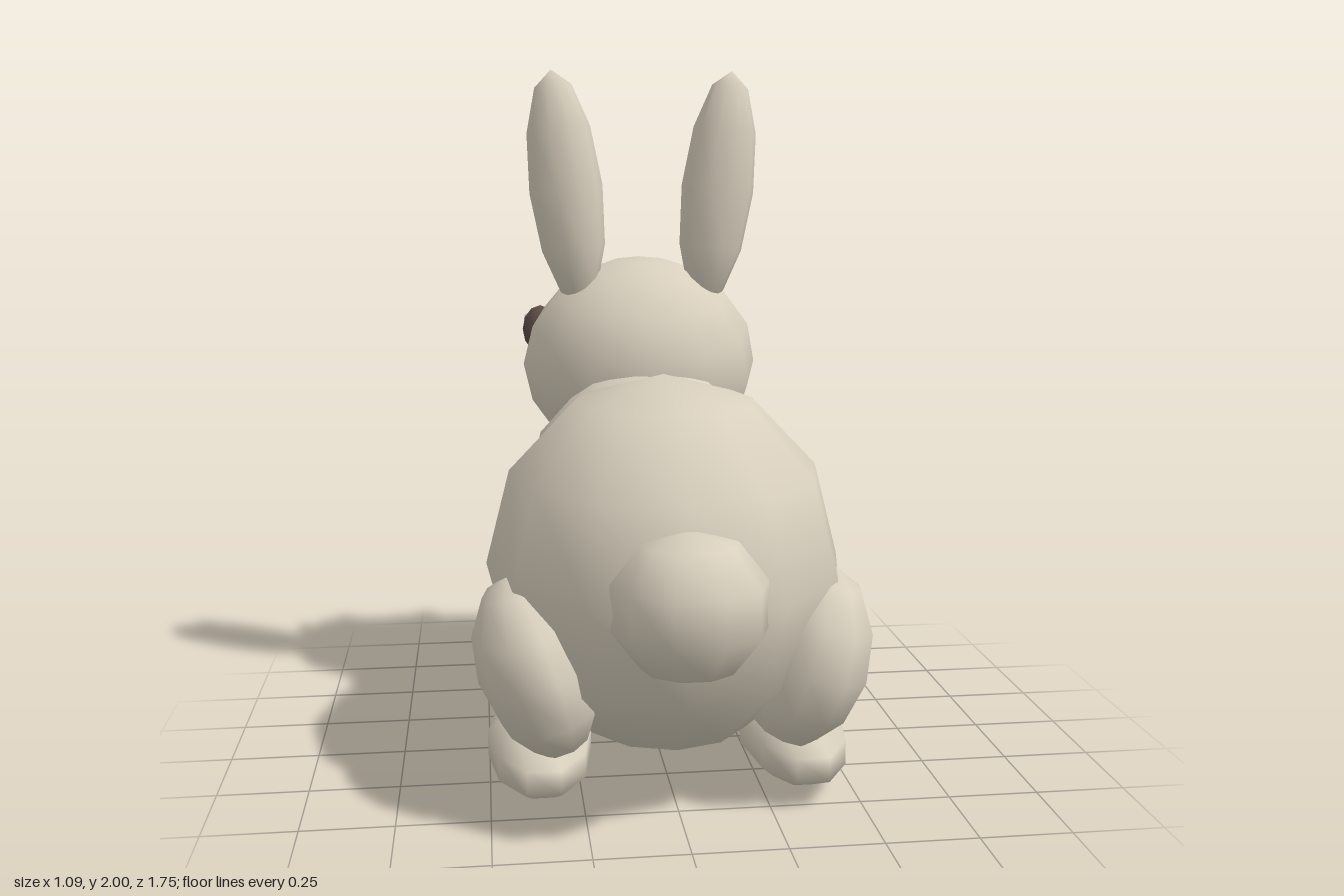
import * as THREE from 'three';

export function createModel() {
  const model = new THREE.Group();
  model.name = 'rabbit';
  const mat = (name, color) => {
    const m = new THREE.MeshStandardMaterial({ color });
    m.name = name;
    return m;
  };
  const fur = mat('fur', 0xd8cfbd);
  const pink = mat('pink', 0xd8a4a2);
  const dark = mat('dark brown', 0x5c4d47);
  const glint = mat('glint', 0xe4dfd4);

  // Every part is a smooth, coarse ellipsoid
  const blob = (name, material, pos, radii, seg = [10, 6], rot = [0, 0, 0]) => {
    const geo = new THREE.SphereGeometry(1, seg[0], seg[1]);
    geo.scale(...radii);
    const mesh = new THREE.Mesh(geo, material);
    mesh.name = name;
    mesh.position.set(...pos);
    mesh.rotation.set(...rot);
    model.add(mesh);
  };
  // Mirrored pair across x = 0
  const pair = (name, material, [x, y, z], radii, seg, [rx, ry, rz] = [0, 0, 0]) => {
    blob(name + 'Left', material, [x, y, z], radii, seg, [rx, ry, rz]);
    blob(name + 'Right', material, [-x, y, z], radii, seg, [rx, -ry, -rz]);
  };

  // Torso, head and tail
  blob('body', fur, [0, 0.615, 0.17], [0.5, 0.525, 0.6], [12, 6]);
  blob('chest', fur, [0, 0.71, -0.2], [0.38, 0.415, 0.36], [12, 6]);
  blob('head', fur, [0, 1.095, -0.445], [0.37, 0.335, 0.35], [12, 8], [0.3, 0, 0]);
  blob('tail', fur, [0, 0.63, 0.69], [0.21, 0.197, 0.2], [10, 5]);

  // Ears leaning outward
  pair('ear', fur, [0.235, 1.643, -0.36], [0.113, 0.36, 0.097], [10, 6], [0, 0, -0.12]);
  pair('innerEar', pink, [0.24, 1.645, -0.463], [0.07, 0.288, 0.022], [8, 6], [0, 0, -0.12]);

  // Face
  pair('eye', dark, [0.308, 1.185, -0.64], [0.058, 0.078, 0.06], [10, 6]);
  pair('eyeGlint', glint, [0.342, 1.215, -0.69], [0.018, 0.02, 0.018], [8, 6]);
  pair('cheek', fur, [0.13, 1.005, -0.755], [0.125, 0.105, 0.085], [10, 6]);
  blob('nose', pink, [0, 1.055, -0.842], [0.06, 0.04, 0.04], [8, 6]);

  // Legs and feet
  pair('haunch', fur, [0.37, 0.39, 0.385], [0.165, 0.255, 0.262], [10, 6], [0, 0, -0.3]);
  pair('hindFoot', fur, [0.36, 0.11, 0.235], [0.152, 0.11, 0.33], [10, 5]);
  pair('frontFoot', fur, [0.25, 0.148, -0.378], [0.12, 0.148, 0.245], [10, 5]);
  return model;
}
